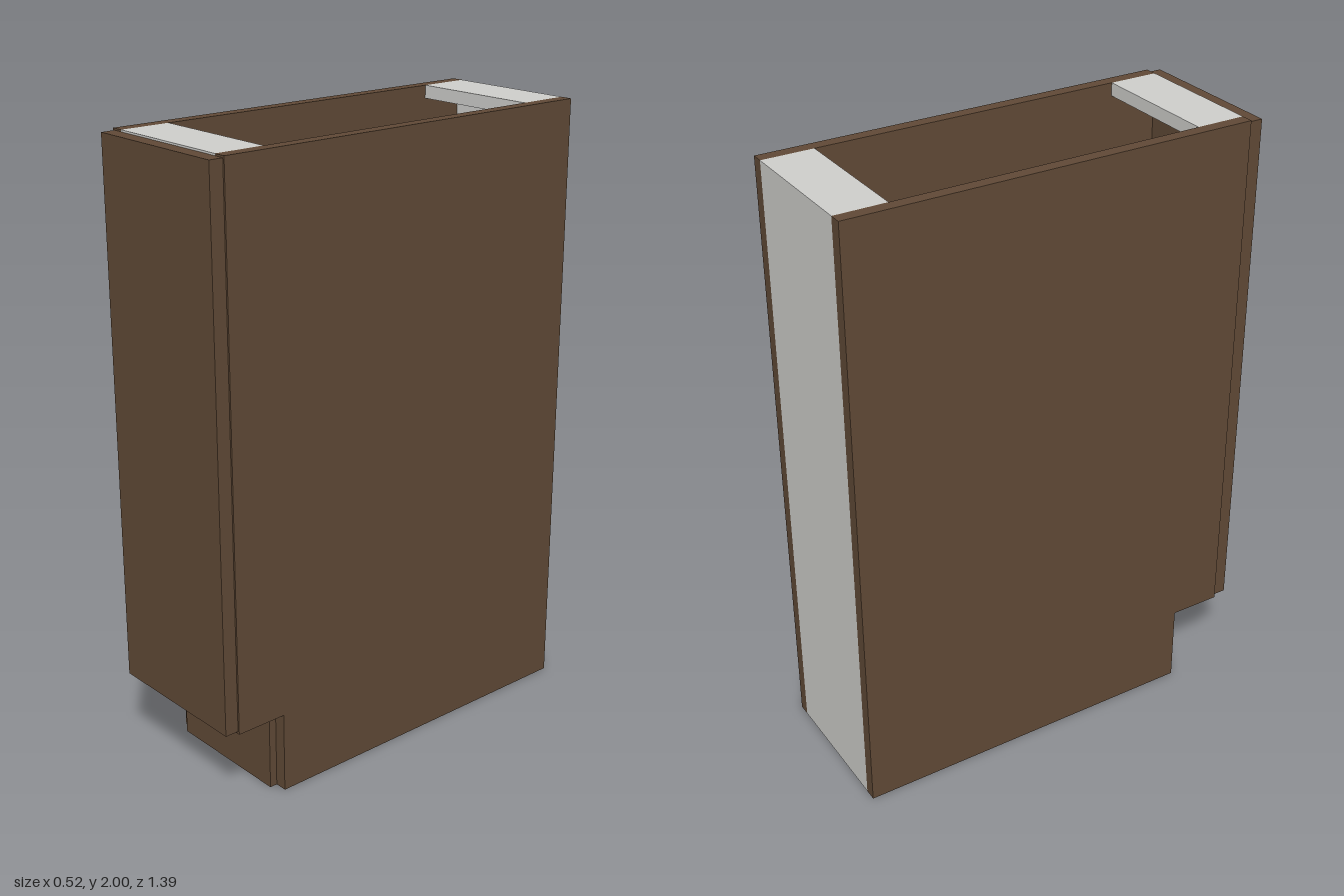
import * as THREE from 'three';

export function createModel() {
  const brown = new THREE.MeshStandardMaterial({ color: 0x604936 });
  brown.name = 'brown wood';
  const grey = new THREE.MeshStandardMaterial({ color: 0xcfcfcc });
  grey.name = 'pale grey board';

  const model = new THREE.Group();
  model.name = 'baseCabinet';

  // Board given by its [min, max] extent on each axis
  function board(name, material, [x0, x1], [y0, y1], [z0, z1]) {
    const mesh = new THREE.Mesh(new THREE.BoxGeometry(x1 - x0, y1 - y0, z1 - z0), material);
    mesh.position.set((x0 + x1) / 2, (y0 + y1) / 2, (z0 + z1) / 2);
    mesh.name = name;
    model.add(mesh);
  }

  const outer = 0.26, inner = 0.22, kick = 0.263, top = 2;
  const back = -0.695, front = 0.65;
  const inside = [-inner, inner];

  // Side panels, with the lower part set back for the toe space
  for (const [side, x] of [['left', [inner, outer]], ['right', [-outer, -inner]]]) {
    board(side + 'SidePanel', brown, x, [kick, top], [back, front]);
    board(side + 'SideBase', brown, x, [0, kick], [back, 0.48]);
  }

  // Toe kick, standing slightly proud of the side bases
  board('toeKick', brown, inside, [0, kick], [0.465, 0.505]);

  // Door
  board('door', brown, [-0.254, 0.254], [0.271, 1.994], [front, 0.695]);

  // Carcass boards
  board('backPanel', grey, inside, [0, top], [back, back + 0.02]);
  board('bottomShelf', grey, inside, [kick, kick + 0.042], [back + 0.02, front]);
  board('backStretcher', grey, inside, [top - 0.042, top], [back + 0.02, -0.528]);
  board('frontStretcher', grey, inside, [top - 0.042, top], [0.487, front]);

  return model;
}
